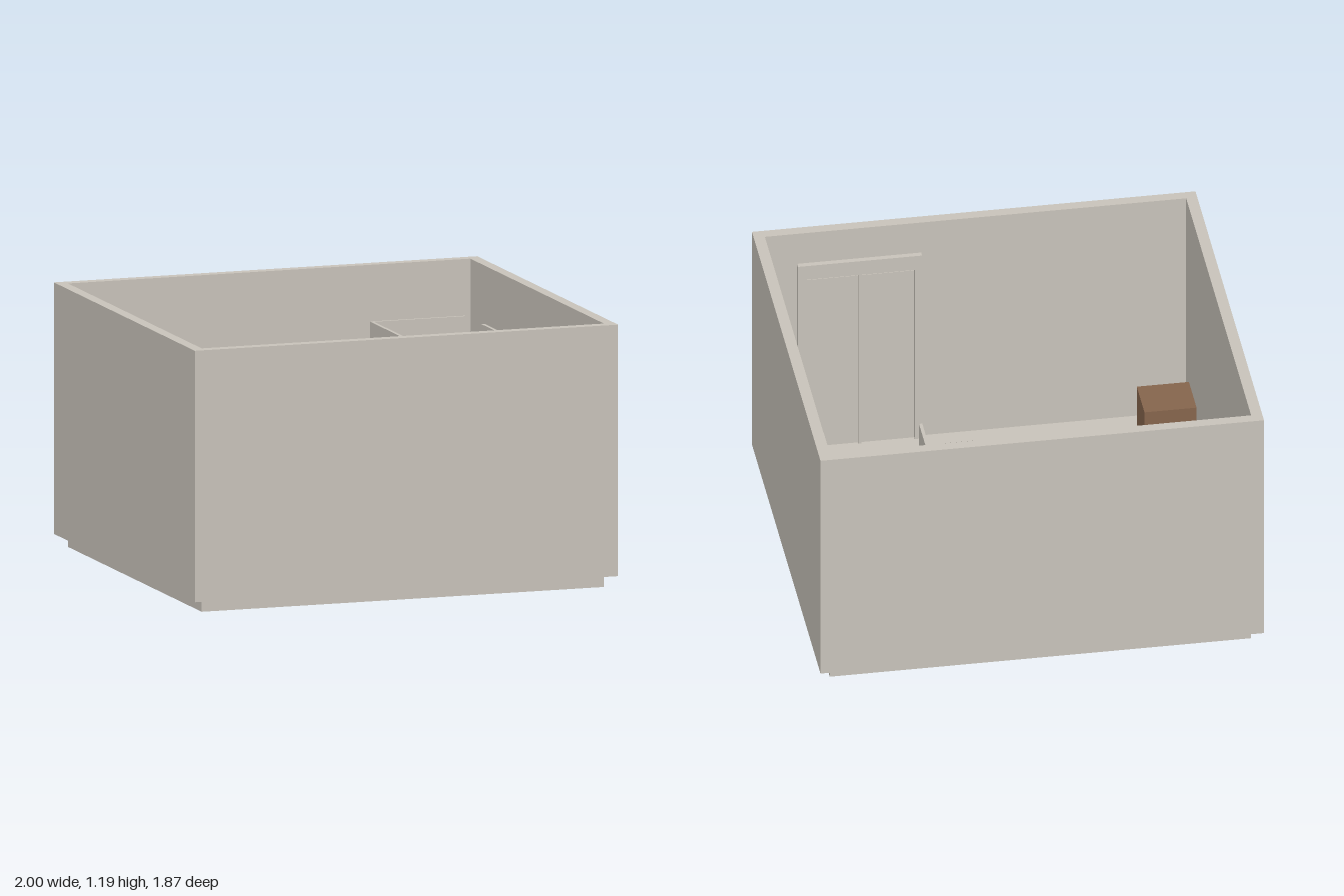
import * as THREE from 'three';

const stone = new THREE.MeshStandardMaterial({ color: 0xc9c4bb });
stone.name = 'warm grey';
const wood = new THREE.MeshStandardMaterial({ color: 0x86654d });
wood.name = 'brown wood';
const dark = new THREE.MeshStandardMaterial({ color: 0x6b665f });
dark.name = 'dark grey';

const FLOOR = 0.054;

// Box given by its limits on each axis
function block(parent, name, material, [x0, x1], [y0, y1], [z0, z1]) {
  const mesh = new THREE.Mesh(new THREE.BoxGeometry(x1 - x0, y1 - y0, z1 - z0), material);
  mesh.position.set((x0 + x1) / 2, (y0 + y1) / 2, (z0 + z1) / 2);
  mesh.name = name;
  parent.add(mesh);
  return mesh;
}

function part(parent, name) {
  const group = new THREE.Group();
  group.name = name;
  parent.add(group);
  return group;
}

export function createModel() {
  const room = new THREE.Group();
  room.name = 'bathroom';

  // Floor slab and the ring of walls standing around it
  block(room, 'floor', stone, [-0.95, 0.95], [0, FLOOR], [-0.885, 0.885]);
  const outline = new THREE.Shape([[-1, -0.934], [1, -0.934], [1, 0.934], [-1, 0.934]].map(p => new THREE.Vector2(...p)));
  outline.holes.push(new THREE.Path([[-0.95, -0.885], [-0.95, 0.885], [0.95, 0.885], [0.95, -0.885]].map(p => new THREE.Vector2(...p))));
  const walls = new THREE.Mesh(new THREE.ExtrudeGeometry(outline, { depth: 1.19 - FLOOR, bevelEnabled: false }), stone);
  walls.rotation.x = -Math.PI / 2;
  walls.position.y = FLOOR;
  walls.name = 'walls';
  room.add(walls);

  // Tub block along the back wall with a small knob
  const tub = part(room, 'tub');
  block(tub, 'tubBody', stone, [-0.68, 0.12], [FLOOR, 0.286], [-0.885, -0.47]);
  block(tub, 'tubKnob', stone, [-0.115, -0.1], [0.286, 0.31], [-0.52, -0.505]);

  // Washstand with tall wooden back panel, basin and small items
  const stand = part(room, 'washstand');
  block(stand, 'backPanel', wood, [0.12, 0.72], [FLOOR, 0.865], [-0.68, -0.65]);
  block(stand, 'cabinet', dark, [0.095, 0.745], [FLOOR, 0.4], [-0.65, -0.417]);
  block(stand, 'basin', stone, [0.305, 0.535], [0.4, 0.43], [-0.615, -0.45]);
  block(stand, 'soapDish', stone, [0.255, 0.292], [0.4, 0.43], [-0.475, -0.44]);
  block(stand, 'cup', stone, [0.325, 0.348], [0.4, 0.44], [-0.467, -0.445]);
  block(stand, 'drawerHandle', stone, [0.385, 0.45], [0.3, 0.315], [-0.417, -0.405]);

  // Shower corner: tray and three upright panels
  const shower = part(room, 'shower');
  block(shower, 'tray', stone, [0.445, 0.893], [FLOOR, 0.075], [-0.8, -0.355]);
  block(shower, 'rightPanel', stone, [0.445, 0.46], [FLOOR, 0.95], [-0.8, -0.355]);
  block(shower, 'backPanel', stone, [0.46, 0.893], [FLOOR, 0.95], [-0.8, -0.787]);
  block(shower, 'leftPanel', stone, [0.89, 0.905], [FLOOR, 0.95], [-0.575, -0.355]);

  // Double door on the front wall: frame, centre post and two leaves
  const door = part(room, 'door');
  for (const x of [0.245, 0.772]) block(door, 'jamb', stone, [x, x + 0.033], [FLOOR, 0.957], [0.86, 0.885]);
  block(door, 'header', stone, [0.245, 0.805], [0.957, 1.03], [0.86, 0.885]);
  block(door, 'centrePost', stone, [0.518, 0.532], [FLOOR, 0.957], [0.865, 0.885]);
  for (const [a, b] of [[0.278, 0.518], [0.532, 0.772]]) block(door, 'leaf', stone, [a, b], [FLOOR, 0.945], [0.875, 0.885]);

  // Toilet with tank and dark lever plate
  const toilet = part(room, 'toilet');
  block(toilet, 'bowl', stone, [-0.315, -0.155], [FLOOR, 0.23], [0.095, 0.315]);
  block(toilet, 'tank', stone, [-0.305, -0.165], [0.23, 0.38], [0.065, 0.15]);
  block(toilet, 'sidePlate', dark, [-0.155, -0.143], [0.15, 0.23], [0.115, 0.215]);

  // Paper holder beside the right wall
  const holder = part(room, 'paperHolder');
  block(holder, 'backPlate', stone, [-0.943, -0.91], [0.3, 0.38], [0.04, 0.117]);
  block(holder, 'roll', stone, [-0.9, -0.84], [0.3, 0.36], [0.05, 0.11]);

  // Wooden cupboard with a handle on its front
  const cupboard = part(room, 'cupboard');
  block(cupboard, 'cupboardBody', wood, [-0.92, -0.685], [FLOOR, 0.38], [0.42, 0.63]);
  block(cupboard, 'cupboardHandle', wood, [-0.84, -0.765], [0.27, 0.285], [0.63, 0.638]);

  // Bin
  block(room, 'bin', dark, [0.053, 0.196], [FLOOR, 0.24], [0.387, 0.528]);

  return room;
}
